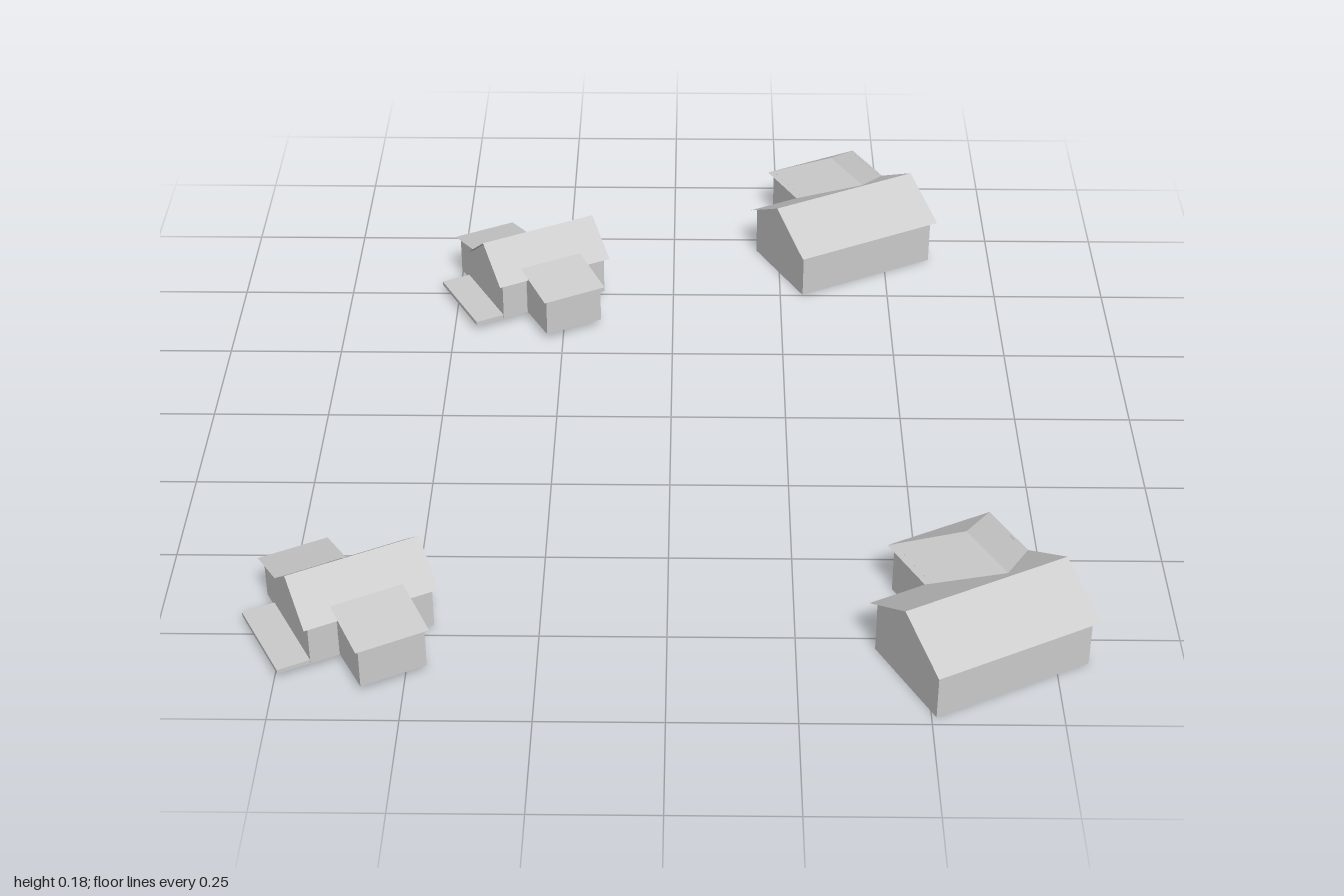
import * as THREE from 'three';

const grey = new THREE.MeshStandardMaterial({ color: 0xcccccc, side: THREE.DoubleSide });
grey.name = 'light grey';

// Mesh from flat polygons, each a list of [x, y, z] corners
function panels(name, polygons) {
  const pos = [];
  for (const p of polygons)
    for (let i = 1; i < p.length - 1; i++) pos.push(...p[0], ...p[i], ...p[i + 1]);
  const geo = new THREE.BufferGeometry();
  geo.setAttribute('position', new THREE.Float32BufferAttribute(pos, 3));
  geo.computeVertexNormals();
  const mesh = new THREE.Mesh(geo, grey);
  mesh.name = name;
  return mesh;
}

// Upright wall between two plan points, with a top height at each end
const wall = (x0, z0, x1, z1, base, h0, h1 = h0) =>
  [[x0, base, z0], [x1, base, z1], [x1, h1, z1], [x0, h0, z0]];

// Two slopes of a gable roof with its ridge along x
const gableRoof = (hx, hz, eave, ridge) => [1, -1].map(s =>
  [[-s * hx, eave, s * hz], [s * hx, eave, s * hz], [s * hx, ridge, 0], [-s * hx, ridge, 0]]);

// Five-sided end wall at x; s sets the side it faces
const gableEnd = (x, s, hz, base, top, ridge) =>
  [[x, base, s * hz], [x, base, -s * hz], [x, top, -s * hz], [x, ridge, 0], [x, top, s * hz]];

// House with a hipped wing at the back, flush with the right end
function wingHouse() {
  const g = new THREE.Group();
  const hx = 0.182, hz = 0.1265, eave = 0.107, ridge = 0.178;
  const roofY = z => ridge - (ridge - eave) * Math.abs(z) / hz;
  const wx = hx - 0.01, wz = hz - 0.014, top = roofY(wz);
  const left = -0.057, mid = 0.0625, back = -0.2665, hipZ = -0.171, startZ = -0.023;
  const wingTop = roofY(startZ), wl = left + 0.01, wb = back + 0.01, wt = eave + 0.005;

  g.add(panels('mainRoof', gableRoof(hx, hz, eave, ridge)));
  g.add(panels('mainWalls', [
    wall(-wx, wz, wx, wz, 0, top),
    wall(wl, -wz, -wx, -wz, 0, top),
    gableEnd(wx, 1, wz, 0, top, ridge),
    gableEnd(-wx, -1, wz, 0, top, ridge),
  ]));
  g.add(panels('wingRoof', [
    [[hx, eave, back], [left, eave, back], [mid, wingTop, hipZ]],
    [[left, eave, back], [left, eave, -hz], [mid, wingTop, startZ], [mid, wingTop, hipZ]],
    [[hx, eave, -hz], [hx, eave, back], [mid, wingTop, hipZ], [mid, wingTop, startZ]],
  ]));
  g.add(panels('wingWalls', [
    wall(wx, wb, wl, wb, 0, wt),
    wall(wl, wb, wl, -wz, 0, wt),
    wall(wx, -wz, wx, wb, 0, wt),
  ]));
  return g;
}

// Small house with a lean-to at the front and back and a low deck at its left end
function cottage() {
  const g = new THREE.Group();
  const hx = 0.1385, hz = 0.089, eave = 0.107, ridge = 0.178, base = 0.017;
  const roofY = z => ridge - (ridge - eave) * Math.abs(z) / hz;
  const wx = hx - 0.01, wz = hz - 0.009, top = roofY(wz);
  const inner = 0.065, high = roofY(inner) + 0.001, low = 0.106;

  g.add(panels('mainRoof', gableRoof(hx, hz, eave, ridge)));
  g.add(panels('mainWalls', [
    wall(-wx, wz, -0.069, wz, base, top),
    wall(0.069, wz, wx, wz, base, top),
    wall(wx, -wz, 0, -wz, base, top),
    gableEnd(wx, 1, wz, base, top, ridge),
    gableEnd(-wx, -1, wz, base, top, ridge),
  ]));

  // Lean-to from x0 to x1, reaching out to z = s * out
  function leanTo(name, s, x0, x1, out, in0, in1) {
    const a = x0 + in0, b = x1 - in1, o = out - 0.007;
    const oTop = low + (high - low) * 0.007 / (out - inner);
    const side = x => [[x, base, s * o], [x, oTop, s * o], [x, high, s * inner],
      [x, top, s * wz], [x, base, s * wz]];
    const sub = new THREE.Group();
    sub.name = name;
    const roof = [[x0, low, s * out], [x1, low, s * out],
      [x1, high, s * inner], [x0, high, s * inner]];
    sub.add(panels(name + 'Roof', [s > 0 ? roof : roof.reverse()]));
    sub.add(panels(name + 'Walls', [wall(a, s * o, b, s * o, base, oTop), side(a), side(b)]));
    g.add(sub);
  }
  leanTo('frontLeanTo', 1, -0.075, 0.075, 0.193, 0.007, 0.007);
  leanTo('backLeanTo', -1, -hx, 0.008, 0.166, 0.01, 0.007);

  // Deck slab
  const deck = new THREE.Mesh(new THREE.BoxGeometry(0.068, 0.009, 0.196), grey);
  deck.name = 'deck';
  deck.position.set(-0.162, 0.0215, -0.019);
  g.add(deck);
  return g;
}

export function createModel() {
  const model = new THREE.Group();
  model.name = 'houses';
  const layout = [
    ['frontWingHouse', wingHouse, 0.609, 0.80],
    ['backWingHouse', wingHouse, 0.402, -0.682],
    ['frontCottage', cottage, -0.606, 0.727],
    ['backCottage', cottage, -0.312, -0.498],
  ];
  for (const [name, build, x, z] of layout) {
    const house = build();
    house.name = name;
    house.position.set(x, 0, z);
    house.rotation.y = THREE.MathUtils.degToRad(27.8);
    model.add(house);
  }
  return model;
}
